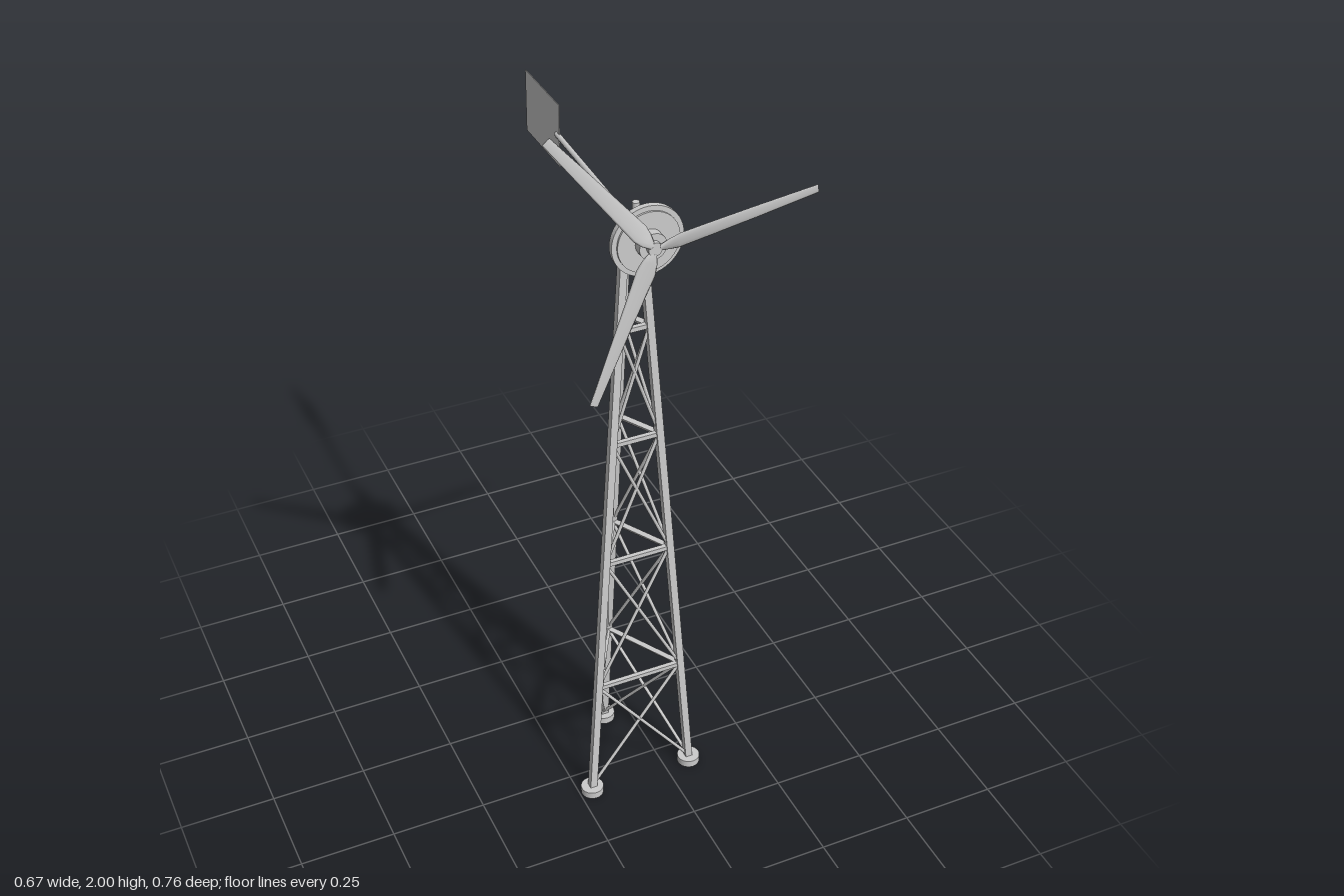
import * as THREE from 'three';

const CX = -0.073, CZ = 0.238, HUB_Y = 1.673;
const grey = new THREE.MeshStandardMaterial({ color: 0xcccccc, side: THREE.DoubleSide });
const facet = new THREE.MeshStandardMaterial({ color: 0xcccccc, flatShading: true, side: THREE.DoubleSide });

function add(parent, name, geometry, x = 0, y = 0, z = 0, material = grey) {
  const mesh = new THREE.Mesh(geometry, material);
  mesh.name = name;
  mesh.position.set(x, y, z);
  parent.add(mesh);
  return mesh;
}

// Straight bar between two points, square or round
function bar(parent, name, a, b, size, round = false) {
  const dir = b.clone().sub(a), len = dir.length();
  const geo = round ? new THREE.CylinderGeometry(size / 2, size / 2, len, 8) : new THREE.BoxGeometry(size, len, size);
  const mesh = add(parent, name, geo);
  mesh.position.copy(a).add(b).multiplyScalar(0.5);
  mesh.quaternion.setFromUnitVectors(new THREE.Vector3(0, 1, 0), dir.normalize());
  return mesh;
}

// Disc or drum lying along z between z0 and z1
function drum(parent, name, r, z0, z1, sides = 32) {
  const geo = new THREE.CylinderGeometry(r, r, z1 - z0, sides).rotateX(Math.PI / 2);
  return add(parent, name, geo, CX, HUB_Y, (z0 + z1) / 2);
}

// Point on leg i (0 right front, 1 back, 2 left front) at height y
function legPoint(i, y) {
  const r = THREE.MathUtils.lerp(0.164, 0.029, y / 1.6);
  const a = Math.PI / 6 + i * Math.PI * 4 / 3;
  return new THREE.Vector3(CX + r * Math.cos(a), y, CZ + r * Math.sin(a));
}

// Twisted, tapered blade along +x: rows of [radius, chord, thickness, twist]
function bladeGeometry() {
  const rows = [
    [0.012, 0.018, 0.010, 0.32], [0.035, 0.036, 0.009, 0.3], [0.06, 0.046, 0.008, 0.26],
    [0.14, 0.040, 0.006, 0.18], [0.25, 0.033, 0.0045, 0.1], [0.41, 0.022, 0.003, 0.03],
  ];
  const n = 10, pos = [], idx = [];
  for (const [r, chord, thick, twist] of rows) {
    for (let j = 0; j < n; j++) {
      const t = j / n * Math.PI * 2;
      const y = Math.cos(t) * chord / 2;
      const z = Math.sin(t) * thick / 2;
      pos.push(r, y * Math.cos(twist) - z * Math.sin(twist), y * Math.sin(twist) + z * Math.cos(twist));
    }
  }
  for (let i = 0; i < rows.length - 1; i++) {
    for (let j = 0; j < n; j++) {
      const a = i * n + j, b = i * n + (j + 1) % n;
      idx.push(a, b, a + n, b, b + n, a + n);
    }
  }
  const last = (rows.length - 1) * n;
  for (let j = 1; j < n - 1; j++) {
    idx.push(0, j + 1, j, last, last + j, last + j + 1);
  }
  const geo = new THREE.BufferGeometry();
  geo.setAttribute('position', new THREE.Float32BufferAttribute(pos, 3));
  geo.setIndex(idx);
  geo.computeVertexNormals();
  return geo;
}

function buildTower() {
  const tower = new THREE.Group();
  tower.name = 'tower';
  const levels = [0.02, 0.35, 0.74, 1.09, 1.4];
  for (let i = 0; i < 3; i++) {
    const k = (i + 1) % 3;
    const foot = legPoint(i, 0);
    add(tower, 'foot', new THREE.CylinderGeometry(0.03, 0.03, 0.02, 24), foot.x, 0.01, foot.z);
    bar(tower, 'leg', legPoint(i, 0.01), legPoint(i, 1.6), 0.019);
    // Level ties and crossed braces on each face
    for (let l = 0; l < levels.length; l++) {
      if (l === 0) continue;
      const lo = levels[l - 1], hi = levels[l];
      bar(tower, 'tie', legPoint(i, hi), legPoint(k, hi), 0.012);
      bar(tower, 'crossBrace', legPoint(i, lo), legPoint(k, hi), 0.009, true);
      bar(tower, 'crossBrace', legPoint(k, lo), legPoint(i, hi), 0.009, true);
    }
  }
  add(tower, 'topPlate', new THREE.CylinderGeometry(0.045, 0.045, 0.008, 32), CX, 1.603, CZ);
  return tower;
}

function buildHead() {
  const head = new THREE.Group();
  head.name = 'head';
  // Swivel mount and furling post
  add(head, 'swivel', new THREE.CylinderGeometry(0.022, 0.024, 0.03, 24), CX, 1.62, CZ);
  add(head, 'mountBlock', new THREE.BoxGeometry(0.02, 0.045, 0.03), CX, 1.652, 0.237);
  add(head, 'post', new THREE.CylinderGeometry(0.009, 0.009, 0.08, 16), -0.051, 1.67, 0.218);
  add(head, 'postBracket', new THREE.BoxGeometry(0.03, 0.012, 0.014), -0.062, 1.66, 0.222);
  // Shaft and generator
  drum(head, 'generator', 0.018, 0.255, 0.307);
  drum(head, 'shaft', 0.009, 0.235, 0.368, 16);
  drum(head, 'rearDisc', 0.055, 0.309, 0.315);
  drum(head, 'mainDisc', 0.075, 0.317, 0.331, 40);
  // Rim around the main disc
  const ring = new THREE.Shape().absarc(0, 0, 0.089, 0, Math.PI * 2);
  ring.holes.push(new THREE.Path().absarc(0, 0, 0.073, 0, Math.PI * 2, true));
  const rim = new THREE.ExtrudeGeometry(ring, { depth: 0.014, bevelEnabled: false, curveSegments: 24 });
  add(head, 'rim', rim, CX, HUB_Y, 0.317);
  drum(head, 'frontDisc', 0.077, 0.332, 0.337, 40);
  drum(head, 'hub', 0.034, 0.337, 0.36);
  drum(head, 'nose', 0.017, 0.36, 0.372, 24);
  return head;
}

function buildRotor() {
  const rotor = new THREE.Group();
  rotor.name = 'rotor';
  rotor.position.set(CX, HUB_Y, 0.369);
  const geo = bladeGeometry();
  for (let i = 0; i < 3; i++) {
    add(rotor, 'blade', geo).rotation.z = THREE.MathUtils.degToRad(8.4 + i * 120);
  }
  return rotor;
}

function buildTail() {
  const tail = new THREE.Group();
  tail.name = 'tail';
  bar(tail, 'boom', new THREE.Vector3(CX, 1.675, 0.225), new THREE.Vector3(CX, 1.69, -0.19), 0.014, true);
  add(tail, 'vane', new THREE.BoxGeometry(0.002, 0.165, 0.21), CX, 1.692, -0.277, facet);
  return tail;
}

export function createModel() {
  const model = new THREE.Group();
  model.name = 'windTurbine';
  model.add(buildTower(), buildHead(), buildRotor(), buildTail());
  return model;
}
